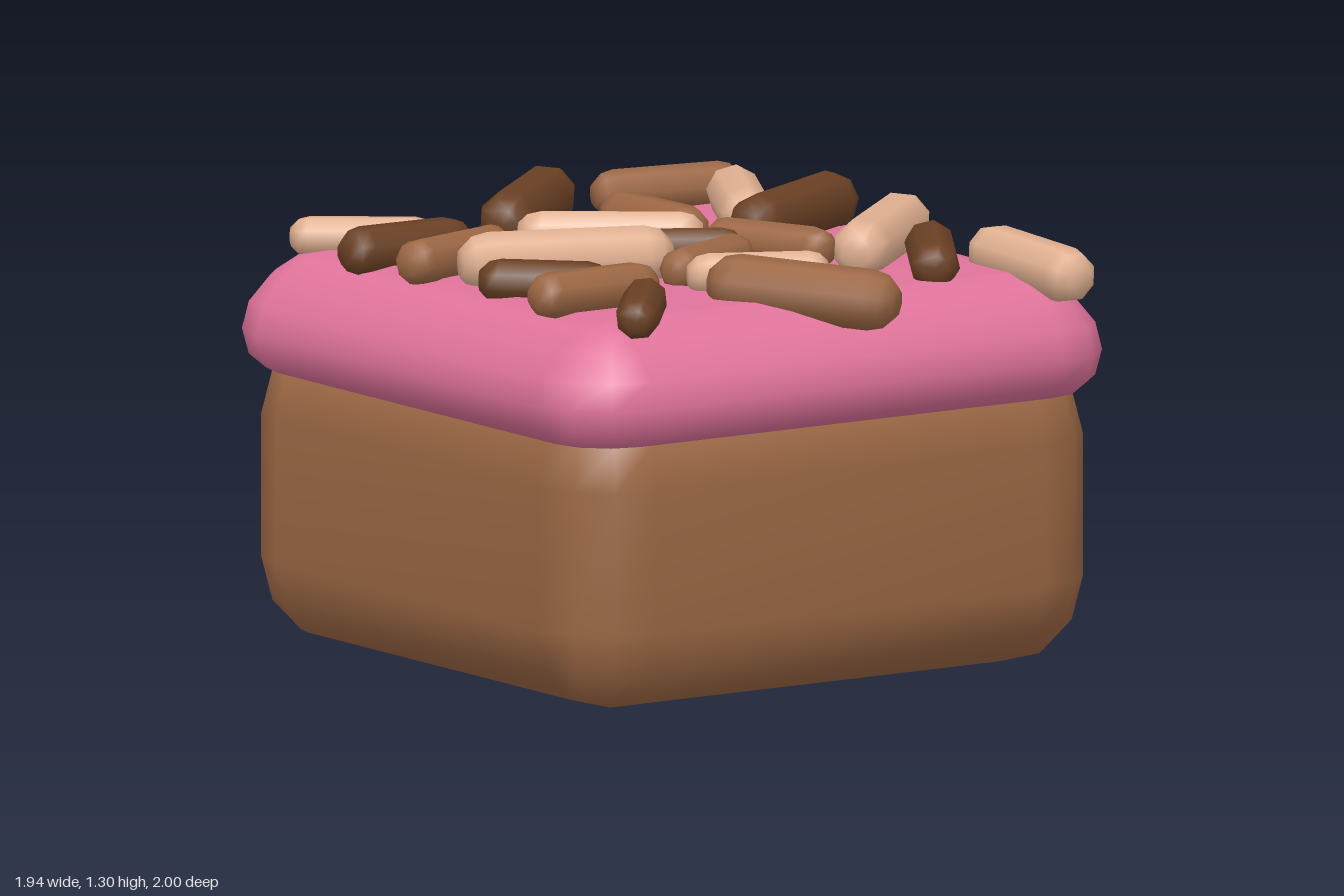
import * as THREE from 'three';

const mat = (name, color) => {
  const m = new THREE.MeshStandardMaterial({ color });
  m.name = name;
  return m;
};

// Rounded block lofted from rounded-rectangle rings; profile is [inset, y] from bottom to top
function roundedBlock(hx, hz, radius, profile, seg = 3) {
  const pos = [], idx = [];
  const n = 4 * (seg + 1);
  for (const [inset, y] of profile) {
    const r = Math.max(radius - inset, 0.01);
    for (let c = 0; c < 4; c++) {
      const sx = c === 0 || c === 3 ? 1 : -1, sz = c < 2 ? 1 : -1;
      for (let s = 0; s <= seg; s++) {
        const a = (c + s / seg) * Math.PI / 2;
        pos.push(sx * (hx - inset - r) + r * Math.cos(a), y, sz * (hz - inset - r) + r * Math.sin(a));
      }
    }
  }
  const rows = profile.length;
  for (let k = 0; k < rows - 1; k++) {
    for (let i = 0; i < n; i++) {
      const a = k * n + i, b = k * n + (i + 1) % n;
      idx.push(a, a + n, b, b, a + n, b + n);
    }
  }
  // flat bottom and top
  const top = (rows - 1) * n;
  for (let i = 1; i < n - 1; i++) {
    idx.push(0, i, i + 1, top, top + i + 1, top + i);
  }
  const g = new THREE.BufferGeometry();
  g.setAttribute('position', new THREE.Float32BufferAttribute(pos, 3));
  g.setIndex(idx);
  g.computeVertexNormals();
  return g;
}

// Stubby rod with bevelled ends, laid from point a to point b
function sprinkle(a, b, r, material) {
  const h = a.distanceTo(b) / 2;
  const end = [[r, h - 0.9 * r], [0.87 * r, h - 0.37 * r], [0.5 * r, h], [0, h]];
  const pts = [
    ...end.slice().reverse().map(([x, y]) => new THREE.Vector2(x, -y)),
    ...end.map(([x, y]) => new THREE.Vector2(x, y)),
  ];
  const mesh = new THREE.Mesh(new THREE.LatheGeometry(pts, 8, Math.PI / 8), material);
  mesh.position.copy(a).add(b).multiplyScalar(0.5);
  mesh.quaternion.setFromUnitVectors(new THREE.Vector3(0, 1, 0), b.clone().sub(a).normalize());
  return mesh;
}

export function createModel() {
  const model = new THREE.Group();
  model.name = 'frostedCake';
  const sponge = mat('sponge brown', 0x9c6744);
  const pink = mat('icing pink', 0xe0739b);
  const light = mat('cream', 0xe2b192);
  const dark = mat('dark chocolate', 0x6a4024);

  // sponge base
  const base = new THREE.Mesh(roundedBlock(0.93, 0.93, 0.25, [
    [0.24, 0], [0.115, 0.033], [0.033, 0.12], [0, 0.25],
    [0, 0.67], [0.033, 0.8], [0.12, 0.89], [0.24, 0.92],
  ]), sponge);
  base.name = 'spongeBase';
  base.position.z = -0.03;

  // icing slab
  const icing = new THREE.Mesh(roundedBlock(0.97, 0.97, 0.25, [
    [0.16, 0.8], [0.07, 0.803], [0.02, 0.845], [0, 0.92],
    [0.02, 1.0], [0.085, 1.08], [0.16, 1.13], [0.25, 1.15],
  ]), pink);
  icing.name = 'icing';
  icing.position.z = -0.03;
  model.add(base, icing);

  // sprinkles: x1, z1, x2, z2, width, material, heights of the two ends
  const list = [
    [-0.78, -0.85, -0.48, -0.56, 0.12, light, 1.18, 1.19],
    [-0.85, -0.475, -0.43, -0.46, 0.15, dark, 1.19, 1.19],
    [-0.84, -0.17, -0.42, -0.29, 0.14, sponge, 1.2, 1.2],
    [-0.73, -0.05, -0.14, 0.17, 0.18, light, 1.21, 1.21],
    [-0.77, 0.11, -0.5, 0.37, 0.13, dark, 1.19, 1.19],
    [-0.84, 0.49, -0.42, 0.49, 0.14, sponge, 1.2, 1.2],
    [-0.76, 0.9, -0.51, 0.59, 0.13, dark, 1.18, 1.19],
    [-0.27, -0.51, 0.18, -0.91, 0.18, dark, 1.21, 1.21],
    [0.33, -0.92, 0.76, -0.8, 0.14, sponge, 1.18, 1.19],
    [0.18, -0.61, 0.2, -0.19, 0.145, sponge, 1.19, 1.19],
    [0.43, -0.27, 0.67, -0.71, 0.16, light, 1.2, 1.2],
    [-0.29, -0.4, 0.15, -0.09, 0.15, light, 1.2, 1.2],
    [0.29, -0.07, 0.81, -0.35, 0.18, dark, 1.21, 1.21],
    [-0.23, -0.11, 0.15, 0.11, 0.13, dark, 1.19, 1.19],
    [-0.24, 0.32, 0.12, 0.16, 0.13, sponge, 1.19, 1.19],
    [0.18, -0.1, 0.35, 0.28, 0.13, sponge, 1.19, 1.19],
    [-0.23, 0.39, 0.14, 0.57, 0.13, light, 1.19, 1.19],
    [-0.23, 0.51, 0.11, 0.97, 0.18, sponge, 1.19, 1.16],
    [0.32, 0.45, 0.78, 0.04, 0.18, light, 1.21, 1.21],
    [0.43, 0.7, 0.67, 0.31, 0.15, dark, 1.19, 1.19],
    [0.77, 0.44, 0.77, 0.95, 0.165, light, 1.18, 1.16],
  ];
  const sprinkles = new THREE.Group();
  sprinkles.name = 'sprinkles';
  list.forEach(([x1, z1, x2, z2, w, m, y1, y2], i) => {
    const s = sprinkle(new THREE.Vector3(x1, y1, z1), new THREE.Vector3(x2, y2, z2), w / 2, m);
    s.name = 'sprinkle' + (i + 1);
    sprinkles.add(s);
  });
  model.add(sprinkles);
  return model;
}
